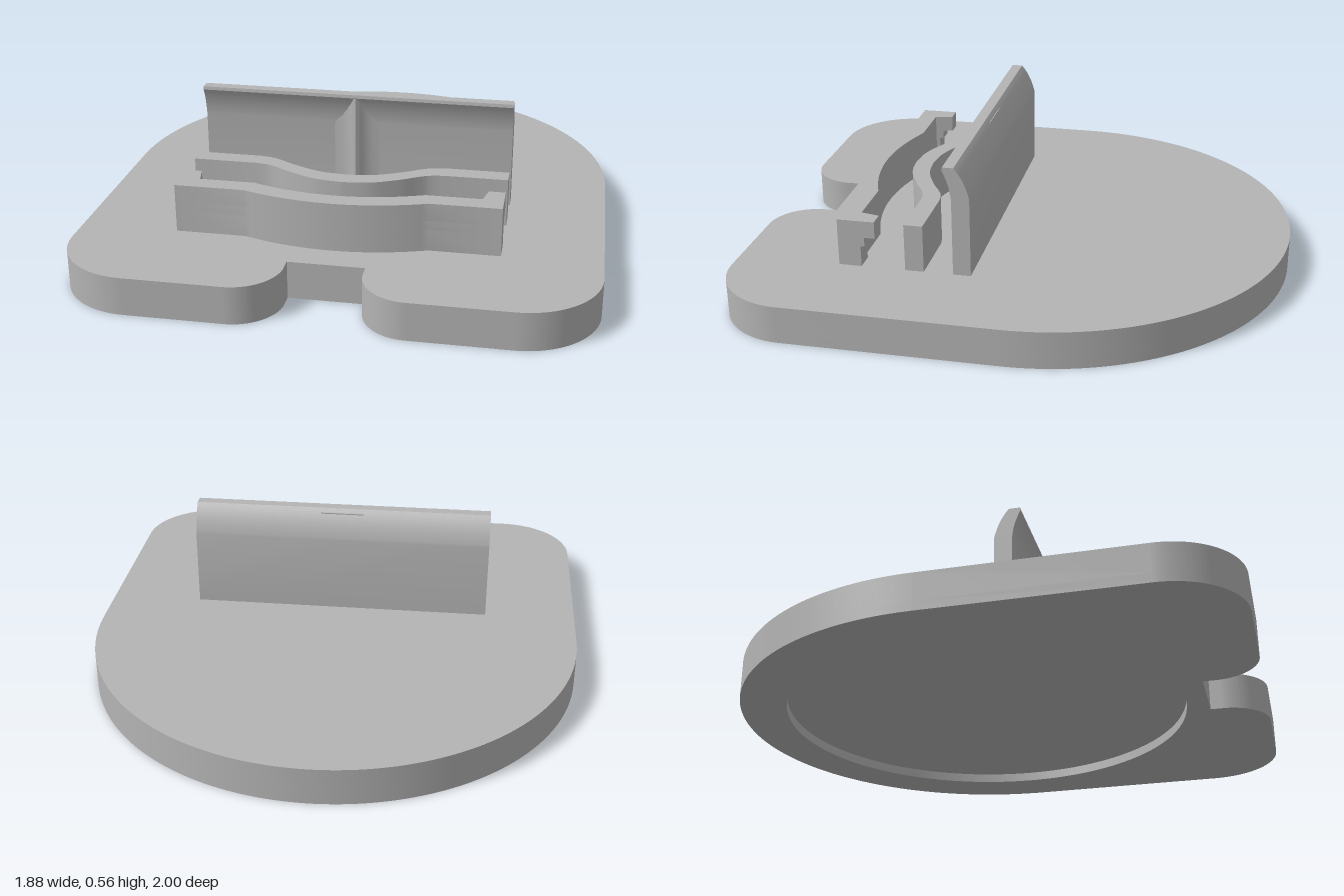
import * as THREE from 'three';
import { toCreasedNormals } from 'three/addons/utils/BufferGeometryUtils.js';

const PLATE_TOP = 0.14, CLIP_TOP = 0.32, HALF = 0.585;
const RECESS_DEPTH = 0.035, ARC_Z = -0.06;

export function createModel() {
  const model = new THREE.Group();
  model.name = 'clipPlate';
  const grey = new THREE.MeshStandardMaterial({ color: 0xb4b4b4 });
  grey.name = 'grey';

  const add = (name, geometry, parent = model) => {
    const mesh = new THREE.Mesh(toCreasedNormals(geometry, 0.5), grey);
    mesh.name = name;
    parent.add(mesh);
  };

  // Extrudes a plan (shape y = -z) upwards from y0 to y1
  const slab = (shape, y0, y1) =>
    new THREE.ExtrudeGeometry(shape, { depth: y1 - y0, bevelEnabled: false, curveSegments: 48 })
      .rotateX(-Math.PI / 2).translate(0, y0, 0);

  // Closed plan from [x, z] points, running from x = 0 to the right, mirrored to the left
  const mirroredPlan = (half) => {
    const left = half.filter(([x]) => x > 0).map(([x, z]) => [-x, z]).reverse();
    // half lists the front edge outwards and the back edge inwards
    return new THREE.Shape([...half, ...left].map(([x, z]) => new THREE.Vector2(x, -z)));
  };

  // Base plate: round at the back, rounded corners and a notch at the front
  const outline = () => {
    const s = new THREE.Shape();
    s.moveTo(0.137, -0.785);
    s.lineTo(0.137, -0.83);
    s.absarc(0.307, -0.83, 0.17, Math.PI, Math.PI * 1.5);
    s.absarc(0.66, -0.72, 0.28, -Math.PI / 2, 0);
    s.absarc(0, -ARC_Z, 0.94, 0, Math.PI);
    s.absarc(-0.66, -0.72, 0.28, Math.PI, Math.PI * 1.5);
    s.absarc(-0.307, -0.83, 0.17, -Math.PI / 2, 0);
    s.lineTo(-0.137, -0.785);
    return s;
  };
  const base = new THREE.Group();
  base.name = 'basePlate';
  model.add(base);
  add('plateTop', slab(outline(), RECESS_DEPTH, PLATE_TOP), base);

  // Lower layer with the shallow round recess underneath
  const rim = outline();
  const recess = new THREE.Path();
  recess.absarc(0, -ARC_Z, 0.766, 0, Math.PI * 2, true);
  rim.holes.push(recess);
  add('recessRim', slab(rim, 0, RECESS_DEPTH), base);

  // Back wall with a lip curling forward, drawn in profile (z, y)
  const wall = new THREE.Shape();
  wall.moveTo(0.12, PLATE_TOP);
  wall.lineTo(0.186, PLATE_TOP);
  wall.lineTo(0.186, 0.43);
  wall.quadraticCurveTo(0.19, 0.49, 0.218, 0.543);
  wall.lineTo(0.216, 0.555);
  wall.lineTo(0.175, 0.555);
  wall.quadraticCurveTo(0.135, 0.51, 0.12, 0.44);
  add('backWall', new THREE.ExtrudeGeometry(wall, { depth: HALF * 2, bevelEnabled: false, curveSegments: 12 })
    .rotateY(-Math.PI / 2).translate(HALF, 0, 0));

  // Flared rib on the front of the back wall
  const rib = mirroredPlan([
    [0, 0.219], [0.008, 0.216], [0.02, 0.206], [0.035, 0.197], [0.055, 0.19], [0.085, 0.186], [0.085, 0.16],
  ]);
  add('wallRib', slab(rib, PLATE_TOP, 0.54));

  // Middle clip: constant-thickness band with a smooth forward bow
  const bow = new THREE.SplineCurve([
    [0, 0.12], [0.1, 0.107], [0.2, 0.064], [0.26, 0.028], [0.3, 0.009], [0.35, 0],
  ].map(([x, z]) => new THREE.Vector2(x, z))).getPoints(24).map((p) => [p.x, p.y]);
  const middle = mirroredPlan([
    ...bow.map(([x, d]) => [x, 0.365 + d]),
    [HALF, 0.365], [HALF, 0.295],
    ...bow.map(([x, d]) => [x, 0.295 + d]).reverse(),
  ]);
  add('middleClip', slab(middle, PLATE_TOP, CLIP_TOP));

  // Front clip: shallow arc with end hooks that are undercut in steps
  const arc = (halfChord, z) => Array.from({ length: 13 }, (_, i) => {
    const t = i / 12;
    return [t * halfChord, z + 0.06 * (1 - t * t)];
  });
  const frontPlan = (hookZ) => mirroredPlan([
    ...arc(0.33, 0.615),
    [HALF, 0.615], [HALF, hookZ], [0.51 + (0.545 - hookZ) * 0.21, hookZ], [0.51, 0.545],
    ...arc(0.31, 0.545).reverse(),
  ]);
  const front = new THREE.Group();
  front.name = 'frontClip';
  model.add(front);
  [
    ['frontClipFoot', 0.53, PLATE_TOP, 0.22],
    ['frontClipStep', 0.515, 0.22, 0.255],
    ['frontClipHooks', 0.475, 0.255, CLIP_TOP],
  ].forEach(([name, hookZ, y0, y1]) => add(name, slab(frontPlan(hookZ), y0, y1), front));

  return model;
}
